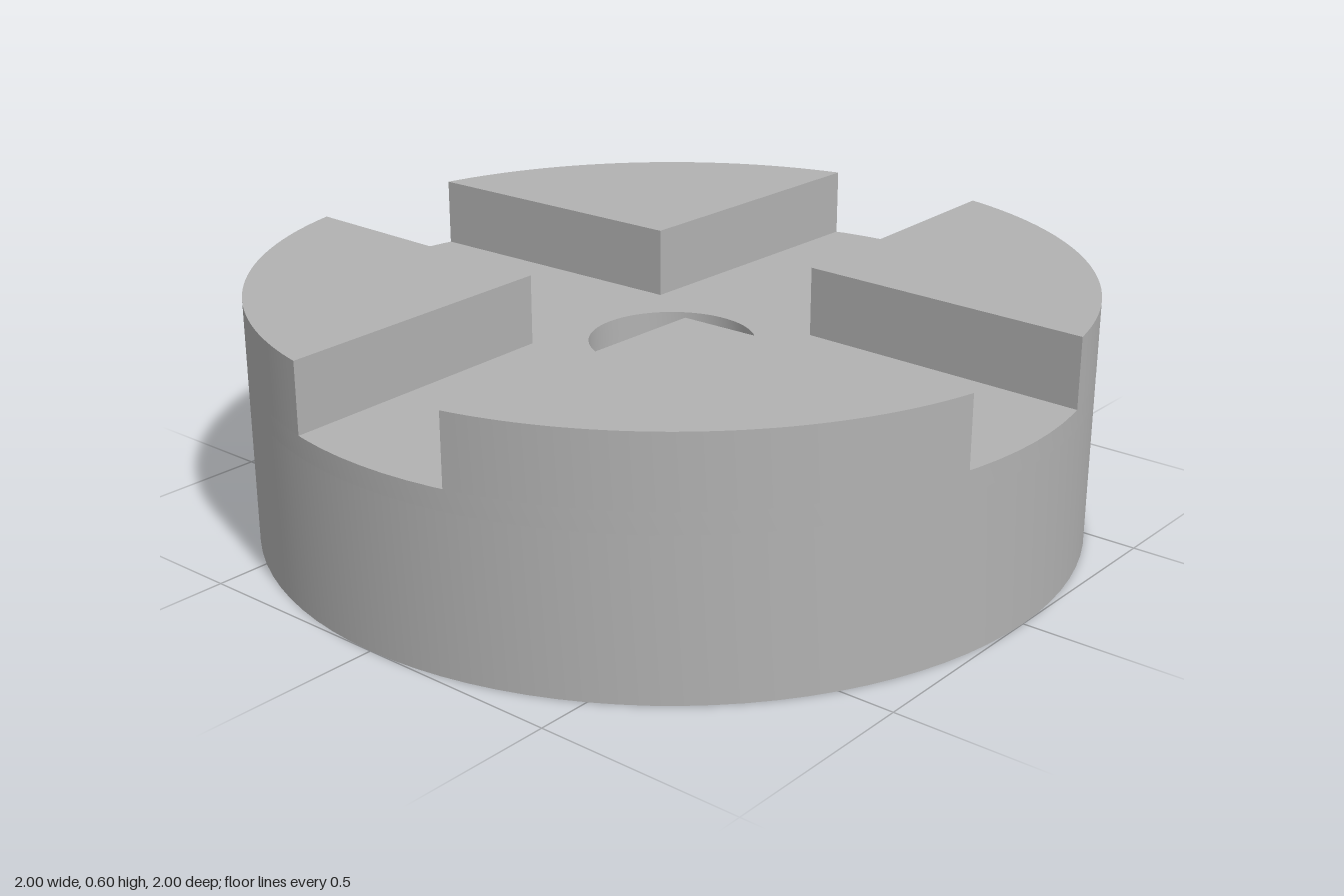
import * as THREE from 'three';
import { toCreasedNormals } from 'three/addons/utils/BufferGeometryUtils.js';

const FLOOR = 0.43, TOP = 0.6, HOLE_TOP = 0.38;

// Extrude a flat shape upward from y0 to y1, smooth on curves and sharp on edges
function slab(shape, y0, y1, curveSegments) {
  const geo = new THREE.ExtrudeGeometry(shape, { depth: y1 - y0, bevelEnabled: false, curveSegments });
  geo.rotateX(-Math.PI / 2).translate(0, y0, 0);
  return toCreasedNormals(geo, Math.PI / 6);
}

// Disc with round holes given as [x, y, radius]
function disc(holes) {
  const shape = new THREE.Shape().absarc(0, 0, 1, 0, Math.PI * 2);
  for (const [x, y, r] of holes) {
    shape.holes.push(new THREE.Path().absarc(x, y, r, 0, Math.PI * 2, true));
  }
  return shape;
}

export function createModel() {
  const group = new THREE.Group();
  const grey = new THREE.MeshStandardMaterial({ color: 0xb2b2b2 });
  grey.name = 'grey';

  const add = (name, geo) => {
    const mesh = new THREE.Mesh(geo, grey);
    mesh.name = name;
    group.add(mesh);
    return mesh;
  };

  // Lower body: central bore and four blind holes on the diagonals
  const bore = [0, 0, 0.2];
  const blind = [[1, 1], [-1, 1], [-1, -1], [1, -1]].map(([x, y]) => [x * 0.5, y * 0.5, 0.16]);
  add('lowerBody', slab(disc([bore, ...blind]), 0, HOLE_TOP, 48));

  // Slot floor plate, which closes the blind holes
  add('slotFloor', slab(disc([bore]), HOLE_TOP, FLOOR, 48));

  // Four raised quadrant blocks with slots narrowing slightly toward the rim
  const a = Math.asin(0.218);
  const quadrant = new THREE.Shape();
  quadrant.moveTo(0.236, 0.236);
  quadrant.lineTo(Math.cos(a), Math.sin(a));
  quadrant.absarc(0, 0, 1, a, Math.PI / 2 - a, false);
  quadrant.closePath();
  const blockGeo = slab(quadrant, FLOOR, TOP, 20);
  for (let i = 0; i < 4; i++) {
    add('quadrantBlock' + (i + 1), blockGeo).rotation.y = i * Math.PI / 2;
  }

  return group;
}
